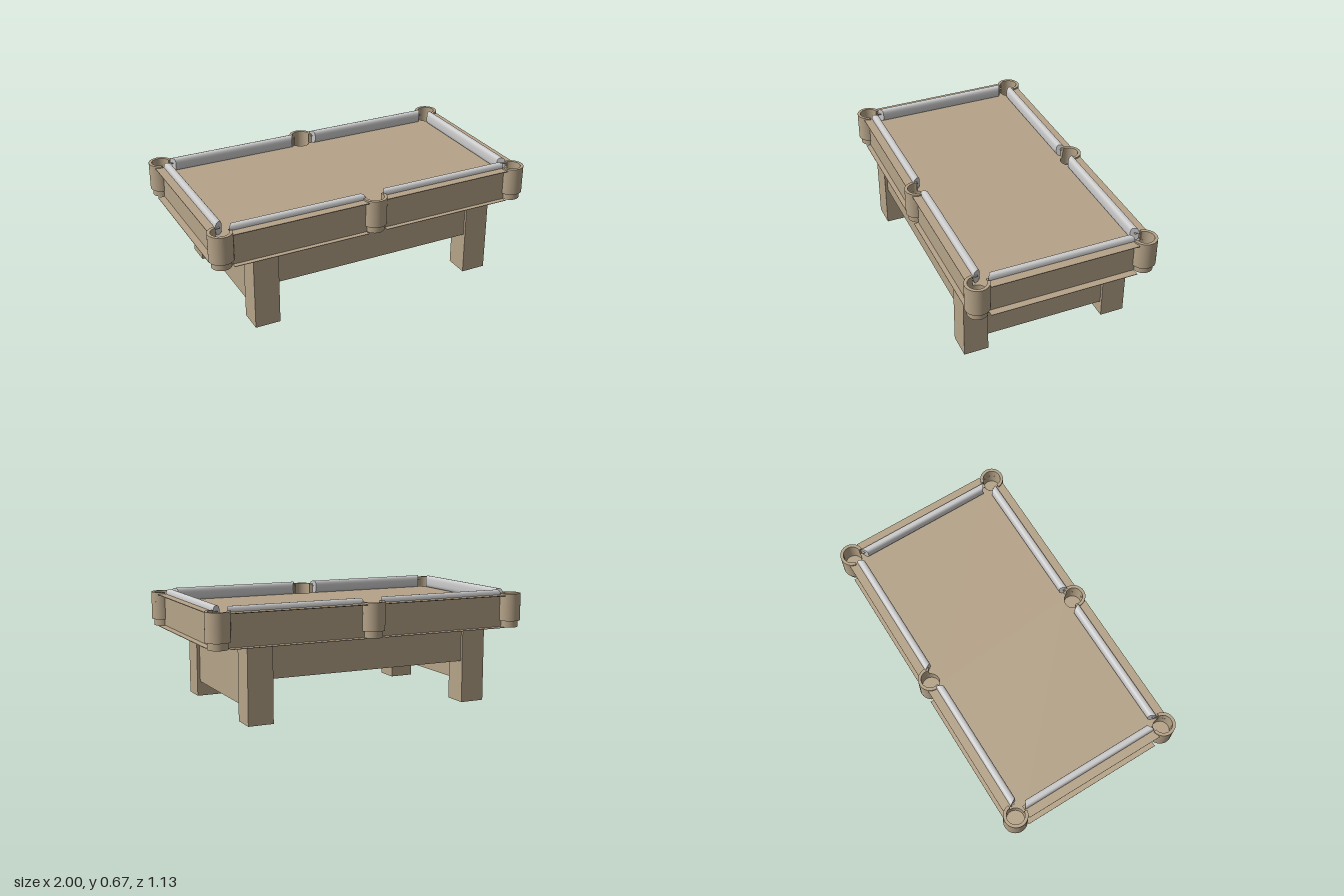
import * as THREE from 'three';

const wood = new THREE.MeshStandardMaterial({ color: 0xb5a388, side: THREE.DoubleSide });
const grey = new THREE.MeshStandardMaterial({ color: 0xcccccc });

export function createModel() {
  const table = new THREE.Group();
  table.name = 'poolTable';

  const add = (name, geo, mat = wood, parent = table) => {
    const m = new THREE.Mesh(geo, mat);
    m.name = name;
    parent.add(m);
    return m;
  };
  // box given by its min and max corners
  const box = (name, x0, x1, y0, y1, z0, z1) =>
    add(name, new THREE.BoxGeometry(x1 - x0, y1 - y0, z1 - z0))
      .position.set((x0 + x1) / 2, (y0 + y1) / 2, (z0 + z1) / 2);
  // flat board from a shape drawn in x/z, lying between y0 and y1
  const board = (shape, y0, y1) =>
    new THREE.ExtrudeGeometry(shape, { depth: y1 - y0, bevelEnabled: false, curveSegments: 24 })
      .rotateX(Math.PI / 2).translate(0, y1, 0);

  const PX = 0.93, PZ = 0.494, R = 0.07, r = 0.052; // pocket centres and radii
  const UNDER = 0.52, BED = 0.588;

  // playing bed: its outline bites an arc out at each pocket
  const X = 0.937, Z = 0.498;
  const dx = Math.asin((Z - PZ) / r), ex = Math.acos((X - PX) / r);
  const bed = new THREE.Shape();
  const bite = (x, z, a0, a1) => bed.absarc(x, z, r, a0, a1, true);
  bite(0, -PZ, Math.PI + dx, -dx);
  bite(PX, -PZ, Math.PI + dx, ex);
  bite(PX, PZ, -ex, -Math.PI - dx);
  bite(0, PZ, dx, -Math.PI - dx);
  bite(-PX, PZ, dx, -Math.PI + ex);
  bite(-PX, -PZ, Math.PI - ex, -dx);
  bed.closePath();
  add('bed', board(bed, UNDER, BED));

  // pockets: collar open towards the bed, full tube below it, narrower cup underneath
  for (const sz of [-1, 1]) for (const sx of [-1, 0, 1]) {
    const g = new THREE.Group();
    g.name = 'pocket';
    g.position.set(sx * PX, 0, sz * PZ);
    const out = Math.atan2(sz, sx), half = sx ? 2.25 : 1.95;
    const collar = new THREE.Shape();
    collar.absarc(0, 0, R, out - half, out + half, false);
    collar.absarc(0, 0, r, out + half, out - half, true);
    add('pocketCollar', board(collar, BED, 0.645), wood, g);
    const tube = [[R, BED], [R, 0.48], [0.057, 0.48], [0.057, 0.44], [0, 0.44]];
    for (let i = 0; i < tube.length - 1; i++) {
      const pts = [tube[i], tube[i + 1]].map(p => new THREE.Vector2(...p));
      add('pocketTube', new THREE.LatheGeometry(pts, 32), wood, g);
    }
    add('pocketLiner', new THREE.CylinderGeometry(r, r, BED - 0.525, 32, 1, true), wood, g)
      .position.y = (BED + 0.525) / 2;
    add('pocketFloor', new THREE.CircleGeometry(r, 32).rotateX(-Math.PI / 2), wood, g).position.y = 0.525;
    table.add(g);
  }

  // rails: outward channels of thin sheets, with a top, a wall and a lower lip
  for (const s of [-1, 1]) {
    const pair = (a, b, sign = s) => (sign > 0 ? [a, b] : [-b, -a]);
    for (const t of [-1, 1]) {
      const run = pair(0.058, 0.872, t);
      box('railTop', ...run, 0.631, 0.635, ...pair(0.465, 0.54));
      box('railWall', ...run, 0.44, 0.635, ...pair(0.496, s > 0 ? 0.512 : 0.501));
      box('railLip', ...run, 0.44, 0.443, ...pair(0.496, 0.54));
    }
    box('endRailTop', ...pair(0.905, 0.98), 0.631, 0.635, -0.435, 0.435);
    box('endRailWall', ...pair(0.934, 0.939), 0.44, 0.635, -0.435, 0.435);
    box('endRailLip', ...pair(0.934, 0.98), 0.44, 0.443, -0.435, 0.435);
  }

  // cushions: bars of slightly squared oval section, mitred towards the playing side
  const cushion = (name, length, x, z, turn) => {
    const geo = new THREE.CylinderGeometry(1, 1, length, 32).rotateZ(Math.PI / 2);
    const p = geo.attributes.position;
    const square = v => Math.sign(v) * Math.abs(v) ** 0.7;
    for (let i = 0; i < p.count; i++) {
      const side = square(p.getZ(i));
      const px = p.getX(i);
      p.setXYZ(i, px - Math.sign(px) * 0.012 * (1 - side), square(p.getY(i)) * 0.039, side * 0.022);
    }
    geo.computeVertexNormals();
    const m = add(name, geo, grey);
    m.position.set(x, 0.626, z);
    m.rotation.y = turn;
  };
  for (const s of [-1, 1]) {
    for (const t of [-1, 1]) cushion('sideCushion', 0.815, t * 0.465, s * 0.468, s > 0 ? 0 : Math.PI);
    cushion('endCushion', 0.86, s * 0.908, 0, s * Math.PI / 2);
  }

  // legs and the thin panels joining them, set a little behind the outer leg faces
  for (const z of [[0.365, 0.51], [-0.495, -0.35]])
    for (const x of [[-0.755, -0.605], [0.615, 0.765]]) box('leg', ...x, 0, UNDER, ...z);
  for (const z of [[0.482, 0.494], [-0.479, -0.467]]) box('sidePanel', -0.605, 0.615, 0.25, UNDER, ...z);
  for (const x of [[-0.737, -0.725], [0.735, 0.747]]) box('endPanel', ...x, 0.09, UNDER, -0.35, 0.365);

  return table;
}
